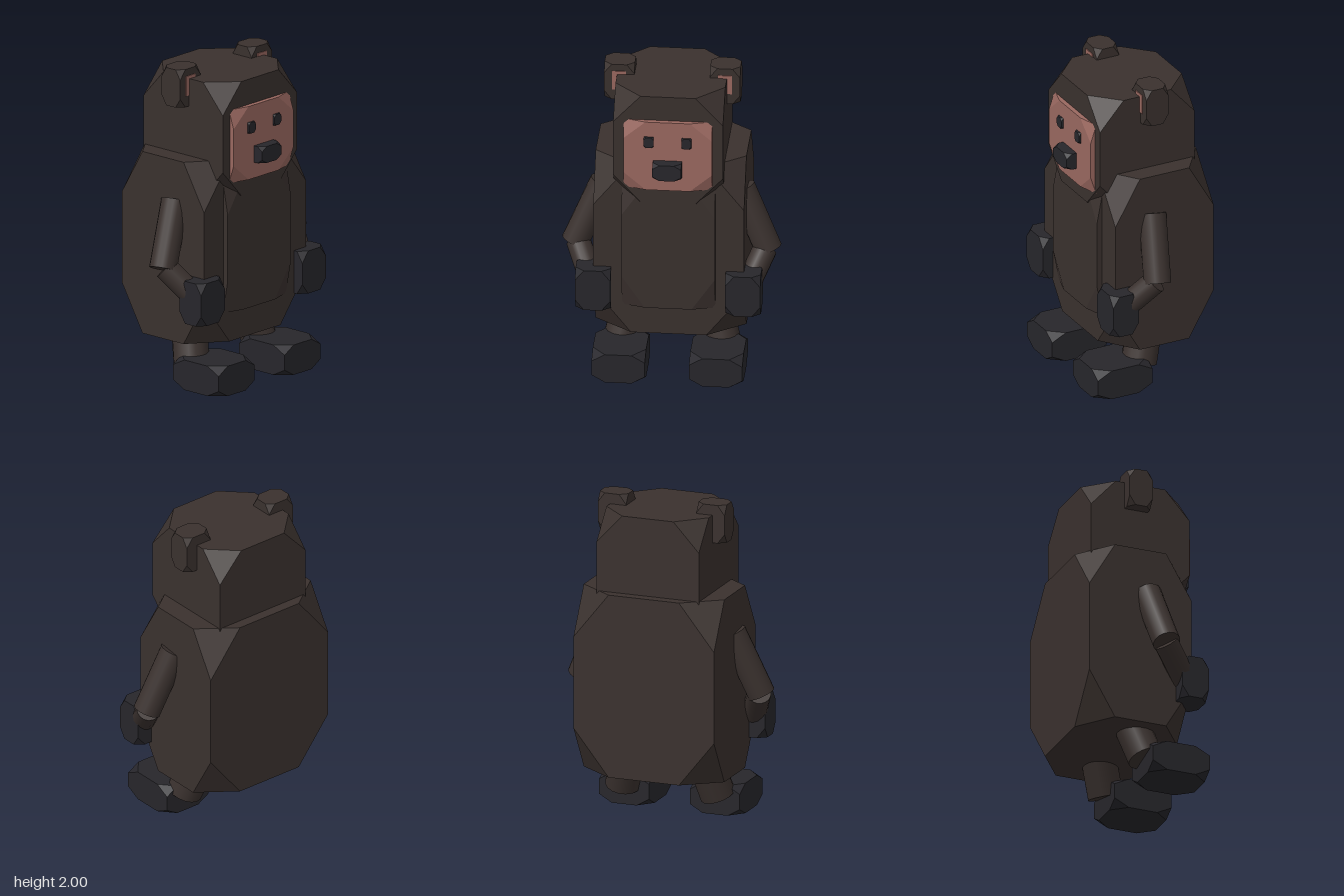
import * as THREE from 'three';
import { ConvexGeometry } from 'three/addons/geometries/ConvexGeometry.js';

const fur = new THREE.MeshStandardMaterial({ color: 0x3a312e, flatShading: true });
const limbFur = new THREE.MeshStandardMaterial({ color: 0x3a312e });
const dark = new THREE.MeshStandardMaterial({ color: 0x27262b, flatShading: true });
const pink = new THREE.MeshStandardMaterial({ color: 0x9a6860, flatShading: true });

// Box given by its min/max corners, with all eight corners sliced off at a quarter of each edge
function cutBox(name, material, min, max, cut = 0.25) {
  const size = max.map((v, i) => v - min[i]);
  const points = [];
  for (const sx of [-1, 1]) for (const sy of [-1, 1]) for (const sz of [-1, 1]) {
    const s = [sx, sy, sz];
    for (let axis = 0; axis < 3; axis++) {
      const p = s.map((v, i) => v * size[i] * (i === axis ? 0.5 - cut : 0.5));
      points.push(new THREE.Vector3(...p));
    }
  }
  const mesh = new THREE.Mesh(new ConvexGeometry(points), material);
  mesh.name = name;
  mesh.position.set(...min.map((v, i) => (v + max[i]) / 2));
  return mesh;
}

// Cylinder running between two points
function limb(name, from, to, radius) {
  const a = new THREE.Vector3(...from), b = new THREE.Vector3(...to);
  const dir = b.clone().sub(a);
  const mesh = new THREE.Mesh(new THREE.CylinderGeometry(radius, radius, dir.length(), 16), limbFur);
  mesh.name = name;
  mesh.position.copy(a).add(b).multiplyScalar(0.5);
  mesh.quaternion.setFromUnitVectors(new THREE.Vector3(0, 1, 0), dir.normalize());
  return mesh;
}

export function createModel() {
  const model = new THREE.Group();
  model.name = 'bear';

  // Torso, belly panel, head, face and nose
  model.add(
    cutBox('body', fur, [-0.46, 0.29, -0.405], [0.46, 1.445, 0.27]),
    cutBox('belly', fur, [-0.285, 0.48, 0.145], [0.285, 1.32, 0.305]),
    cutBox('head', fur, [-0.335, 1.21, -0.34], [0.335, 1.935, 0.31]),
    cutBox('face', pink, [-0.27, 1.31, 0.185], [0.27, 1.775, 0.34]),
    cutBox('nose', dark, [-0.088, 1.41, 0.26], [0.088, 1.515, 0.408])
  );

  // Paired parts: left is +x, right is -x
  for (const [side, s] of [['left', 1], ['right', -1]]) {
    // Mirrored x range
    const box = (part, material, x0, x1, y0, y1, z0, z1) => cutBox(side + part, material,
      [Math.min(s * x0, s * x1), y0, z0], [Math.max(s * x0, s * x1), y1, z1]);

    model.add(
      box('Eye', dark, 0.085, 0.145, 1.605, 1.675, 0.29, 0.354),
      box('Ear', fur, 0.23, 0.415, 1.76, 2.0, -0.12, 0.033),
      box('Hand', dark, 0.35, 0.565, 0.465, 0.735, 0.165, 0.34),
      box('Foot', dark, 0.135, 0.46, 0, 0.19, 0.015, 0.39)
    );

    const innerEar = new THREE.Mesh(new THREE.BoxGeometry(0.085, 0.125, 0.05), pink);
    innerEar.name = side + 'InnerEar';
    innerEar.position.set(s * 0.323, 1.893, 0.013);
    model.add(innerEar);

    model.add(
      limb(side + 'UpperArm', [s * 0.42, 1.175, -0.005], [s * 0.59, 0.785, 0.05], 0.085),
      limb(side + 'Forearm', [s * 0.57, 0.79, 0.055], [s * 0.47, 0.6, 0.23], 0.075),
      limb(side + 'Leg', [s * 0.22, 0.5, -0.085], [s * 0.31, 0.125, 0.03], 0.11)
    );
  }
  return model;
}
